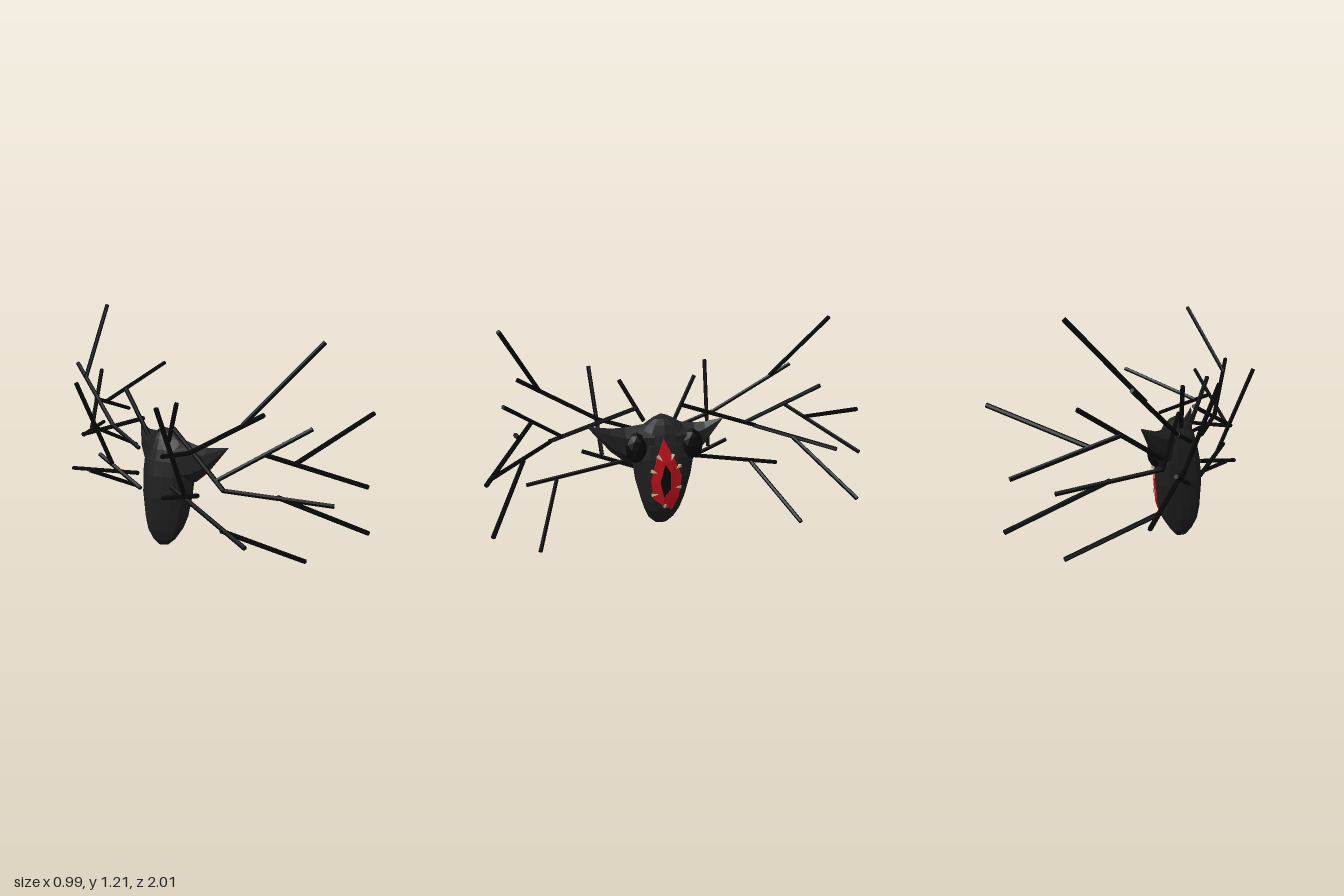
import * as THREE from 'three';

const paint = (color) => new THREE.MeshStandardMaterial({ color, flatShading: true });

// Body sections from bottom to top: y, back x, front x, half width
const SECTIONS = [
  [0, -0.21, -0.16, 0.035], [0.04, -0.245, -0.13, 0.078], [0.1, -0.275, -0.085, 0.106],
  [0.17, -0.288, -0.062, 0.13], [0.3, -0.296, -0.054, 0.165], [0.42, -0.285, -0.05, 0.182],
  [0.5, -0.268, -0.06, 0.178], [0.56, -0.25, -0.075, 0.158], [0.61, -0.228, -0.095, 0.11],
  [0.64, -0.205, -0.12, 0.06], [0.655, -0.18, -0.15, 0.02],
];

// Egg-shaped cross-section, narrower at the back
function sectionPoint([, back, front, w], c, s) {
  return [(back + front) / 2 + (front - back) / 2 * c, w * s * (0.8 + 0.35 * c) / 0.87];
}

// Front surface of the body at a given height and z
function frontX(y, z) {
  let i = 0;
  while (i < SECTIONS.length - 2 && SECTIONS[i + 1][0] < y) i++;
  const a = SECTIONS[i], b = SECTIONS[i + 1];
  const t = (y - a[0]) / (b[0] - a[0]);
  const sec = a.map((v, k) => v + (b[k] - v) * t);
  let p = sectionPoint(sec, 1, 0);
  for (let th = 0; th < 1.3 && p[1] < Math.abs(z); th += 0.01) {
    p = sectionPoint(sec, Math.cos(th), Math.sin(th));
  }
  return p[0];
}

// Unit tube, closed at both ends, one ring per section
function unitTube(heights, sides) {
  const pts = heights.map((h) => new THREE.Vector2(1, h));
  pts.unshift(new THREE.Vector2(0, heights[0]));
  pts.push(new THREE.Vector2(0, heights[heights.length - 1]));
  return new THREE.LatheGeometry(pts, sides);
}

function reshape(geo, rule) {
  const p = geo.attributes.position;
  for (let i = 0; i < p.count; i++) p.setXYZ(i, ...rule(p.getX(i), p.getY(i), p.getZ(i)));
  geo.computeVertexNormals();
  return geo;
}

function makeBody(mat) {
  const geo = reshape(unitTube(SECTIONS.map((s) => s[0]), 16), (x, y, z) => {
    const sec = SECTIONS.find((s) => Math.abs(s[0] - y) < 1e-4);
    const [px, pz] = sectionPoint(sec, x, z);
    return [px, y, pz];
  });
  return new THREE.Mesh(geo, mat);
}

// Pointed ear reaching sideways: z, centre x, centre y, radius x, radius y
function makeEar(mat, tipZ, tipX) {
  const k = (tipZ - 0.06) / 0.37;
  const rings = [
    [0.06, -0.14, 0.48, 0.085, 0.14], [0.22, -0.13, 0.505, 0.05, 0.1],
    [0.3, -0.12, 0.54, 0.034, 0.068], [0.43, tipX, 0.632, 0.002, 0.003],
  ];
  const geo = reshape(unitTube([0, 1, 2, 3], 6), (x, y, z) => {
    const [t, cx, cy, rx, ry] = rings[Math.round(y)];
    return [cx + rx * x, cy - ry * z, 0.06 + (t - 0.06) * k];
  });
  return new THREE.Mesh(geo, mat);
}

// Plate wrapped on the front of the body; outlines are [z, y] pairs
function makePlate(outline, hole, lift, mat) {
  const toPts = (list) => list.map(([z, y]) => new THREE.Vector2(-z, y));
  const shape = new THREE.Shape(toPts(outline));
  if (hole) shape.holes.push(new THREE.Path(toPts(hole)));
  const geo = new THREE.ExtrudeGeometry(shape, { depth: 0.03, bevelEnabled: false });
  reshape(geo, (u, v, d) => [frontX(v, -u) + lift - 0.03 + d, v, -u]);
  return new THREE.Mesh(geo, mat);
}

// Straight rod between two points
function makeRod(a, b, radius, mat) {
  const from = new THREE.Vector3(...a), to = new THREE.Vector3(...b);
  const dir = to.clone().sub(from);
  const mesh = new THREE.Mesh(new THREE.CylinderGeometry(radius, radius, dir.length(), 6), mat);
  mesh.position.copy(from).add(to).multiplyScalar(0.5);
  mesh.quaternion.setFromUnitVectors(new THREE.Vector3(0, 1, 0), dir.normalize());
  return mesh;
}

export function createModel() {
  const model = new THREE.Group();
  const skin = paint(0x202020), black = paint(0x080808);
  const red = paint(0xc0121c), ivory = paint(0xb5ab80);
  const add = (name, mesh, parent = model) => {
    mesh.name = name;
    parent.add(mesh);
    return mesh;
  };

  add('body', makeBody(skin));
  add('leftEar', makeEar(skin, 0.43, -0.1));
  add('rightEar', makeEar(skin, 0.335, -0.08)).scale.z = -1;

  // Eyes
  for (const side of [1, -1]) {
    const eye = add(side > 0 ? 'leftEye' : 'rightEye',
      new THREE.Mesh(new THREE.IcosahedronGeometry(1, 1), black));
    eye.position.set(-0.1, 0.49, 0.16 * side);
    eye.scale.set(0.05, 0.09, 0.068);
  }

  // Mouth: ragged red lips around a dark throat
  const lips = [[0.012, 0.54], [0.055, 0.43], [0.085, 0.3], [0.07, 0.19], [0.015, 0.14],
    [-0.04, 0.11], [-0.075, 0.19], [-0.092, 0.32], [-0.045, 0.43]];
  const throat = [[0.008, 0.4], [0.035, 0.29], [0.012, 0.195], [-0.027, 0.24], [-0.027, 0.34]];
  add('lips', makePlate(lips, throat, 0.011, red));
  add('throat', makePlate(throat, null, 0.005, black));

  // Teeth lean inward and forward from the rim
  const teeth = add('teeth', new THREE.Group());
  const spots = [[0.047, 0.445], [-0.037, 0.445], [0.082, 0.36], [0.075, 0.215],
    [0.005, 0.14], [-0.08, 0.25], [-0.078, 0.38]];
  for (const [z, y] of spots) {
    const base = new THREE.Vector3(frontX(y, z) + 0.008, y, z);
    const dir = new THREE.Vector3(0.025, (0.3 - y) * 0.13, -z * 0.4).normalize();
    const tooth = add('tooth', new THREE.Mesh(new THREE.ConeGeometry(0.013, 0.042, 4), ivory), teeth);
    tooth.quaternion.setFromUnitVectors(new THREE.Vector3(0, 1, 0), dir);
    tooth.position.copy(base).addScaledVector(dir, 0.016);
  }

  // Branching limbs, mirrored on both sides
  const rods = [
    [[-0.21, 0.61, 0.09], [-0.26, 0.845, 0.22]],
    [[-0.21, 0.69, 0.13], [-0.295, 0.505, 0.62]],
    [[-0.295, 0.505, 0.61], [0.08, 0.443, 0.973]],
    [[-0.1, 0.475, 0.78], [0.34, 0.24, 0.98]],
    [[-0.28, 0.535, 0.55], [0.015, 0.808, 0.877]],
    [[-0.13, 0.675, 0.725], [0.295, 0.495, 0.995]],
    [[-0.01, 0.625, 0.8], [0.49, 0.8, 0.853]],
    [[-0.26, 0.31, 0.1], [-0.3, 0.43, 0.435]],
    [[-0.293, 0.4, 0.32], [-0.487, 0.883, 0.353]],
    [[-0.272, 0.615, 0.33], [-0.21, 0.892, 0.785]],
    [[-0.275, 0.62, 0.34], [-0.265, 0.54, 0.1]],
    [[-0.23, 0.825, 0.67], [0.07, 1.203, 0.88]],
    [[-0.24, 0.38, 0.15], [-0.285, 0.26, 0.76]],
    [[-0.28, 0.29, 0.585], [0.16, 0.053, 0.738]],
  ];
  for (const side of [1, -1]) {
    const limbs = add(side > 0 ? 'leftLimbs' : 'rightLimbs', new THREE.Group());
    for (const [a, b] of rods) add('branch', makeRod(a, b, 0.012, black), limbs);
    limbs.scale.z = side;
  }
  return model;
}
